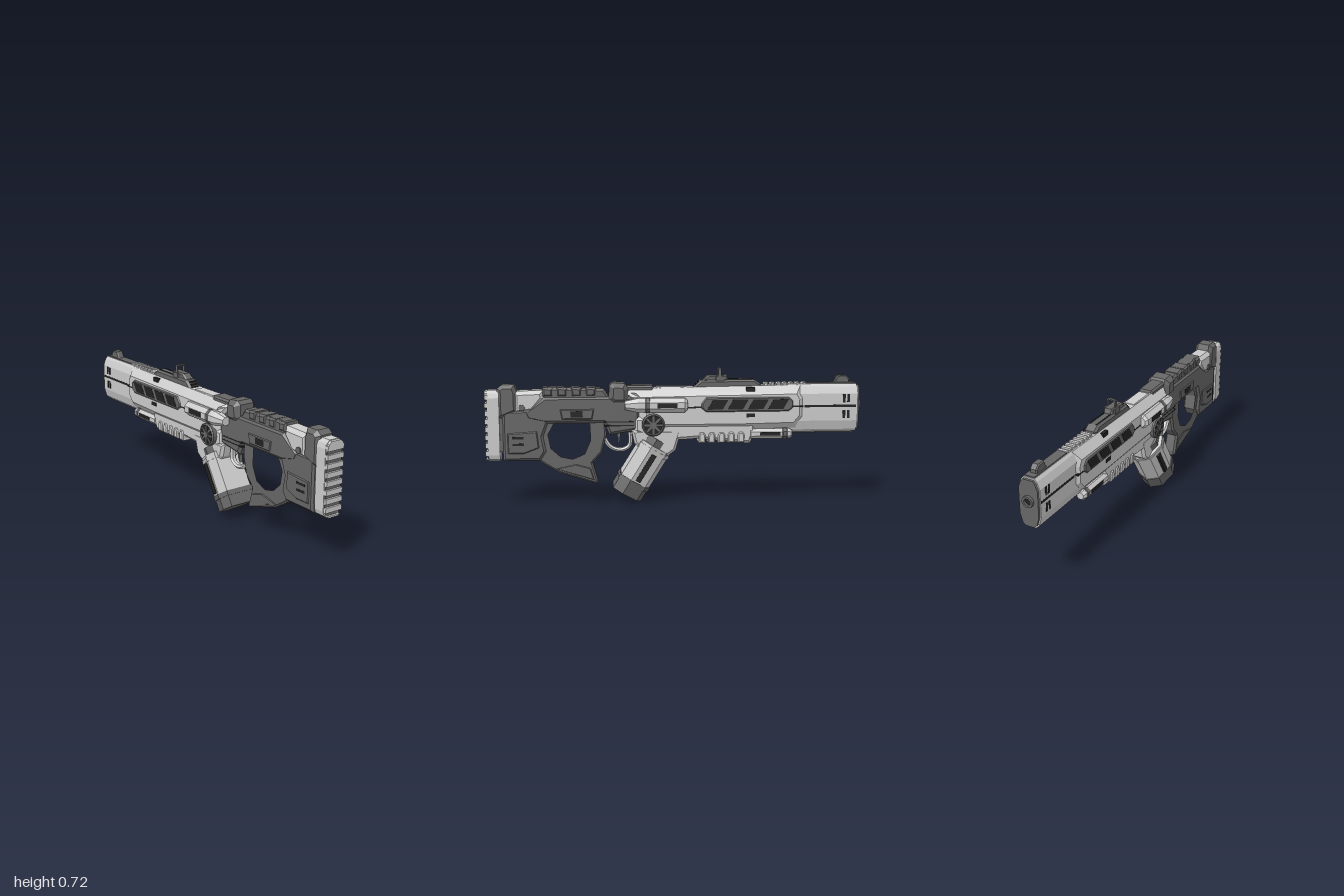
import * as THREE from 'three';

const mat = (color) => new THREE.MeshStandardMaterial({ color, flatShading: true });
const LIGHT = mat(0xcccccc), DARK = mat(0x666666), BLACK = mat(0x222222);

export function createModel() {
  const model = new THREE.Group();
  const gun = new THREE.Group();
  gun.name = 'rifle';
  gun.rotation.y = 0.011;
  model.add(gun);

  const add = (name, geo, material, parent = gun) => {
    const mesh = new THREE.Mesh(geo, material);
    mesh.name = name;
    parent.add(mesh);
    return mesh;
  };
  const toShape = (pts) => new THREE.Shape(pts.map(([a, b]) => new THREE.Vector2(a, b)));

  // Side outline [z, y] extruded across x to +-half, with a chamfer of `size` in outline and `thick` in x
  const slab = (name, pts, half, material, size = 0.01, thick = size, hole) => {
    const shape = toShape(pts);
    if (hole) shape.holes.push(toShape(hole));
    const depth = 2 * (half - thick);
    const geo = new THREE.ExtrudeGeometry(shape, {
      depth, bevelEnabled: size > 0, bevelSize: size, bevelOffset: -size, bevelThickness: thick, bevelSegments: 1,
    });
    geo.translate(0, 0, -depth / 2).rotateY(-Math.PI / 2);
    return add(name, geo, material);
  };
  // Half cross-section [x, y] mirrored in x and extruded from z0 to z1
  const mirrored = (pts) => [...pts, ...pts.slice().reverse().map(([x, y]) => [-x, y])];
  const bar = (name, pts, z0, z1, material, parent) => add(name,
    new THREE.ExtrudeGeometry(toShape(mirrored(pts)), { depth: z1 - z0, bevelEnabled: false }).translate(0, 0, z0),
    material, parent);
  // Box across x to +-half, spanning z0..z1 and y0..y1
  const box = (name, half, z0, z1, y0, y1, material, parent) => add(name,
    new THREE.BoxGeometry(2 * half, y1 - y0, z1 - z0).translate(0, (y0 + y1) / 2, (z0 + z1) / 2), material, parent);
  // Cylinder across x, seen as a disc on both sides
  const disc = (name, r, half, z, y, material, sides = 16, rEnd = r) => {
    for (const s of [-1, 1]) {
      add(name, new THREE.CylinderGeometry(rEnd, r, half, sides).translate(0, half / 2, 0)
        .rotateZ(-s * Math.PI / 2).translate(0, y, z), material);
    }
  };
  // Turned part along z from [radius, z] pairs
  const turned = (name, pts, x, y, material, sides = 8) => add(name,
    new THREE.LatheGeometry(pts.map(([r, z]) => new THREE.Vector2(r, z)), sides, Math.PI / sides)
      .rotateX(Math.PI / 2).scale(1, 1, 1).translate(x, y, 0), material);

  // Butt pad with ribs
  const padHalf = (w, top, bottom) => [[w * 0.55, bottom], [w * 0.86, bottom + 0.012], [w, bottom + 0.035],
    [w, top - 0.04], [w * 0.86, top - 0.015], [w * 0.55, top]];
  bar('buttPad', padHalf(0.051, 0.617, 0.24), 0.925, 0.985, LIGHT);
  bar('buttPadRecess', padHalf(0.046, 0.61, 0.25), 0.98, 0.989, DARK);
  for (let i = 0; i < 8; i++) {
    const y = 0.283 + i * 0.0425;
    box('buttPadRib', 0.049, 0.98, 1, y - 0.013, y + 0.012, LIGHT);
  }
  bar('buttPadTop', [[0.048, 0.57], [0.042, 0.6], [0.028, 0.613]], 0.98, 1, LIGHT);
  bar('buttPadToe', [[0.028, 0.243], [0.042, 0.252]], 0.98, 1, LIGHT);

  // Stock
  slab('stockCap', [[0.935, 0.47], [0.935, 0.625], [0.91, 0.645], [0.845, 0.645], [0.83, 0.6], [0.83, 0.5], [0.9, 0.47]],
    0.054, DARK, 0.02);
  slab('stockLower', [[0.91, 0.51], [0.91, 0.243], [0.715, 0.243], [0.685, 0.29], [0.7, 0.37], [0.67, 0.45], [0.64, 0.51]],
    0.05, DARK, 0.012);
  box('stockSpacer', 0.04, 0.9, 0.93, 0.29, 0.47, DARK);
  slab('stockPanel', [[0.885, 0.39], [0.73, 0.4], [0.72, 0.31], [0.8, 0.28], [0.885, 0.28]], 0.055, DARK, 0.006);
  for (const y of [0.33, 0.365]) box('stockSlot', 0.056, 0.8, 0.86, y - 0.006, y + 0.006, BLACK);
  slab('stockUpper', [[0.85, 0.61], [0.695, 0.615], [0.69, 0.57], [0.75, 0.5], [0.85, 0.49]], 0.052, LIGHT, 0.02);
  disc('stockBolt', 0.017, 0.058, 0.807, 0.525, DARK, 8);

  // Frame, cheek rest and side plates
  slab('frame', [[0.8, 0.5], [0.69, 0.58], [0.24, 0.58], [0.19, 0.53], [0.19, 0.4], [0.35, 0.375], [0.38, 0.44],
    [0.69, 0.44], [0.78, 0.46]], 0.052, DARK, 0.014);
  slab('cheekRest', [[0.7, 0.56], [0.7, 0.61], [0.67, 0.63], [0.38, 0.62], [0.34, 0.56]], 0.042, DARK, 0.012);
  for (let i = 0; i < 4; i++) {
    const z = 0.42 + i * 0.075;
    slab('cheekRib', [[z, 0.58], [z, 0.625], [z + 0.055, 0.63], [z + 0.055, 0.58]], 0.047, DARK, 0.01);
  }
  slab('framePlate', [[0.61, 0.515], [0.43, 0.515], [0.44, 0.46], [0.6, 0.46]], 0.057, DARK, 0.006);
  box('framePort', 0.058, 0.49, 0.555, 0.473, 0.505, BLACK);
  for (const y of [0.425, 0.445]) box('frameSlot', 0.053, 0.22, 0.38, y - 0.003, y + 0.003, BLACK);

  // Grip ring with its opening
  slab('grip', [[0.72, 0.46], [0.74, 0.25], [0.69, 0.215], [0.62, 0.172], [0.415, 0.108], [0.415, 0.135], [0.44, 0.225],
    [0.39, 0.28], [0.367, 0.37], [0.37, 0.46]], 0.036, DARK, 0.01, 0.01,
  [[0.65, 0.447], [0.685, 0.38], [0.67, 0.3], [0.615, 0.25], [0.545, 0.235], [0.475, 0.265], [0.44, 0.345], [0.445, 0.447]]);
  slab('gripRim', [[0.64, 0.195], [0.43, 0.128], [0.45, 0.2], [0.53, 0.222]], 0.04, DARK, 0.008);

  // Trigger and guard
  const guard = new THREE.CatmullRomCurve3([[0.38, 0.355], [0.345, 0.305], [0.29, 0.288], [0.245, 0.31], [0.24, 0.385]]
    .map(([z, y]) => new THREE.Vector3(0, y, z)));
  add('triggerGuard', new THREE.TubeGeometry(guard, 14, 0.012, 6).scale(1.5, 1, 1), LIGHT);
  slab('trigger', [[0.32, 0.4], [0.29, 0.4], [0.295, 0.34], [0.31, 0.315], [0.305, 0.35]], 0.01, DARK, 0);

  // Receiver shell, hand guard and magazine well
  slab('receiver', [[0.27, 0.6], [0.25, 0.62], [-0.67, 0.632], [-0.705, 0.57], [-0.705, 0.455], [-0.65, 0.39], [-0.4, 0.385],
    [0.2, 0.385], [0.2, 0.52]], 0.071, LIGHT, 0.045, 0.036);
  slab('handGuard', [[0.22, 0.47], [0.22, 0.39], [0.1, 0.34], [-0.04, 0.345], [-0.11, 0.35], [-0.4, 0.32], [-0.425, 0.39],
    [-0.425, 0.45]], 0.061, LIGHT, 0.016);
  for (let i = 0; i < 5; i++) {
    const z = -0.14 - i * 0.052;
    slab('handGuardTab', [[z + 0.018, 0.328], [z + 0.018, 0.37], [z + 0.01, 0.384], [z - 0.01, 0.384], [z - 0.018, 0.37],
      [z - 0.018, 0.328]], 0.068, LIGHT, 0.006);
  }
  slab('magazineWell', [[0.235, 0.4], [0.22, 0.33], [0.18, 0.29], [0.04, 0.26], [0, 0.29], [-0.03, 0.4]], 0.062, LIGHT, 0.014);
  box('seam', 0.0715, -0.68, 0, 0.516, 0.524, BLACK);
  for (const [y0, y1, half] of [[0.6, 0.622, 0.058], [0.465, 0.485, 0.073]]) {
    box('latch', half, -0.42, -0.375, y0, y1, BLACK);
  }

  // Side vent panel with slanted bars
  slab('ventFrame', [[-0.135, 0.54], [-0.16, 0.572], [-0.6, 0.572], [-0.625, 0.55], [-0.625, 0.515], [-0.6, 0.495],
    [-0.16, 0.495], [-0.135, 0.515]], 0.077, DARK, 0.006);
  for (let i = 0; i < 4; i++) {
    const z = -0.165 - i * 0.108;
    slab('ventOpening', [[z, 0.508], [z - 0.03, 0.56], [z - 0.112, 0.56], [z - 0.082, 0.508]], 0.0785, BLACK, 0);
  }

  // Barrel shroud and muzzle
  const shroud = [[0.026, 0.378], [0.042, 0.392], [0.057, 0.44], [0.057, 0.585], [0.042, 0.622], [0.03, 0.636]];
  bar('barrelShroud', shroud, -0.975, -0.6, LIGHT);
  bar('muzzlePlate', shroud.map(([x, y]) => [x * 0.9, 0.51 + (y - 0.51) * 0.94]), -0.987, -0.97, DARK);
  box('shroudSeam', 0.058, -0.97, -0.69, 0.513, 0.525, BLACK);
  box('topStrip', 0.027, -0.97, -0.7, 0.62, 0.642, DARK);
  box('bottomStrip', 0.024, -0.96, -0.6, 0.372, 0.39, DARK);
  for (const y of [0.475, 0.56]) {
    for (const z of [-0.905, -0.928]) box('muzzleVent', 0.0585, z - 0.007, z + 0.007, y - 0.022, y + 0.022, BLACK);
  }
  turned('muzzle', [[0.034, -0.98], [0.034, -0.96], [0.03, -0.94]], 0, 0.52, DARK, 12);
  turned('muzzleRing', [[0.018, -0.97], [0.018, -1], [0.029, -1], [0.032, -0.97]], 0, 0.52, DARK, 12);
  add('bore', new THREE.CircleGeometry(0.02, 12).rotateY(Math.PI).translate(0, 0.52, -0.988), BLACK);

  // Top rail, ridges and covers
  slab('topRail', [[-0.085, 0.61], [-0.135, 0.66], [-0.42, 0.662], [-0.455, 0.64], [-0.455, 0.6]], 0.034, DARK, 0.01);
  for (const x of [-0.018, 0.018]) box('railLine', 0.003, -0.42, -0.28, 0.655, 0.664, BLACK).position.x = x;
  for (let i = 0; i < 7; i++) {
    const z = -0.475 - i * 0.034;
    slab('topRidge', [[z, 0.61], [z, 0.637], [z - 0.006, 0.645], [z - 0.022, 0.645], [z - 0.022, 0.61]], 0.029, LIGHT, 0.003);
  }
  for (let i = 0; i < 3; i++) {
    const slot = box('rampSlot', 0.02, -0.004, 0.004, -0.004, 0.004, BLACK);
    slot.position.set(0, 0.625 + i * 0.012, -0.1 - i * 0.012);
  }
  slab('rearBlock', [[0.355, 0.56], [0.35, 0.635], [0.33, 0.652], [0.265, 0.647], [0.25, 0.62], [0.25, 0.54], [0.33, 0.54]],
    0.066, DARK, 0.024);
  slab('topCover', [[0.27, 0.6], [0.27, 0.635], [0.12, 0.635], [0.11, 0.6]], 0.042, DARK, 0.01);
  slab('topHatch', [[0.1, 0.6], [0.1, 0.627], [-0.06, 0.627], [-0.07, 0.6]], 0.036, LIGHT, 0.008);

  // Rear sight loop and front sight
  slab('sightBase', [[-0.145, 0.655], [-0.175, 0.686], [-0.275, 0.686], [-0.285, 0.655]], 0.026, DARK, 0.008);
  const loop = toShape(mirrored([[0.026, 0.66], [0.026, 0.719], [0.021, 0.724]]));
  loop.holes.push(toShape(mirrored([[0.02, 0.67], [0.02, 0.717]])));
  add('sightLoop', new THREE.ExtrudeGeometry(loop, { depth: 0.016, bevelEnabled: false }).translate(0, 0, -0.245), DARK);
  box('sightBracket', 0.033, -0.26, -0.215, 0.655, 0.682, DARK);
  slab('frontSight', [[-0.855, 0.635], [-0.875, 0.68], [-0.92, 0.68], [-0.94, 0.66], [-0.94, 0.635]], 0.02, DARK, 0.006);

  // Side pods and underbarrel tubes, on both sides
  for (const s of [-1, 1]) {
    turned('sidePod', [[0, -0.06], [0.028, -0.06], [0.041, -0.045], [0.041, 0.2], [0.024, 0.27], [0, 0.27]], s * 0.069, 0.535, LIGHT);
    turned('sidePodBand', [[0.038, 0.135], [0.043, 0.14], [0.043, 0.16], [0.038, 0.165]], s * 0.069, 0.535, DARK);
    box('sidePodSlot', 0.004, -0.005, 0.1, 0.523, 0.548, BLACK).position.x = s * 0.105;
    turned('underTube', [[0, -0.625], [0.02, -0.625], [0.029, -0.61], [0.029, -0.4], [0, -0.4]], s * 0.043, 0.373, LIGHT);
    turned('underTubeBand', [[0.028, -0.6], [0.032, -0.595], [0.032, -0.575], [0.028, -0.57]], s * 0.043, 0.373, DARK);
    box('underTubeSlot', 0.004, -0.56, -0.45, 0.365, 0.383, BLACK).position.x = s * 0.068;
  }

  // Spoked wheel on each side
  disc('wheel', 0.062, 0.08, 0.12, 0.43, DARK, 20, 0.06);
  disc('wheelFace', 0.048, 0.083, 0.12, 0.43, BLACK, 20);
  disc('wheelHub', 0.018, 0.09, 0.12, 0.43, DARK, 10);
  for (const s of [-1, 1]) {
    add('wheelRim', new THREE.TorusGeometry(0.053, 0.007, 4, 20).rotateY(Math.PI / 2).translate(s * 0.081, 0.43, 0.12), DARK);
  }
  for (let i = 0; i < 4; i++) {
    const spoke = box('wheelSpoke', 0.086, -0.05, 0.05, -0.005, 0.005, DARK);
    spoke.position.set(0, 0.43, 0.12);
    spoke.rotation.x = i * Math.PI / 4;
  }

  // Slanted magazine, its local z running down to the base
  const mag = new THREE.Group();
  mag.name = 'magazine';
  mag.position.set(0, 0.051, 0.26);
  mag.rotation.x = 1.013;
  gun.add(mag);
  const section = (k) => [[0, -0.09], [0.065, -0.06], [0.096, 0.03], [0.078, 0.09]].map(([x, u]) => [x * k, u * k]);
  bar('magazineBody', section(0.98), -0.3, -0.06, LIGHT, mag);
  bar('magazineNeck', section(0.8), -0.34, -0.29, DARK, mag);
  bar('magazineCollar', section(1.03), -0.085, -0.06, DARK, mag);
  bar('magazineBase', section(0.98), -0.062, 0, DARK, mag);
  bar('magazineTopBand', section(1.02), -0.285, -0.265, LIGHT, mag);
  box('magazineSlot', 0.09, -0.26, -0.095, -0.02, 0.008, BLACK, mag);

  return model;
}
